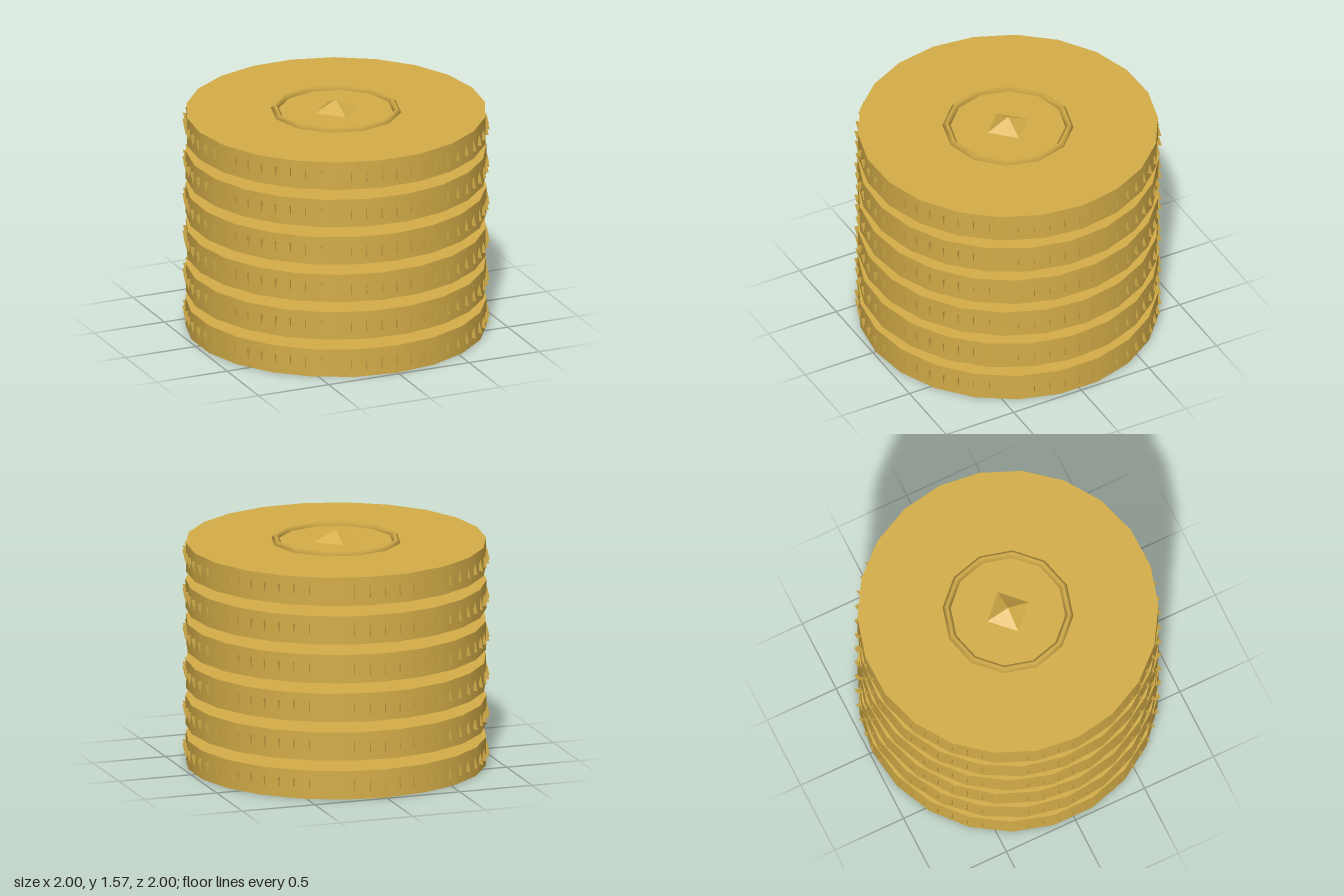
import * as THREE from 'three';

const COINS = 6, PITCH = 0.26, HEIGHT = 0.19, RADIUS = 0.98, SIDES = 22, RIDGES = 60;

// Rim milling: each ridge is a pair of upright triangles facing opposite ways round the rim
function ridgeGeometry() {
  const pos = [];
  const inner = 0.962, outer = 1.0, mid = 0.982, h = 0.04, w = 0.006;
  for (let i = 0; i < RIDGES; i++) {
    const a = (i / RIDGES) * Math.PI * 2;
    const c = Math.cos(a), s = Math.sin(a);
    const add = (r, y, t) => pos.push(r * c - t * s, y, r * s + t * c);
    // wide at the top
    add(inner, h, -w); add(outer, h, -w); add(mid, -h, -w);
    // wide at the bottom
    add(outer, -h, w); add(inner, -h, w); add(mid, h, w);
  }
  const g = new THREE.BufferGeometry();
  g.setAttribute('position', new THREE.Float32BufferAttribute(pos, 3));
  // make the triangles face away from each other
  const p = g.attributes.position;
  const v = [0, 1, 2].map(() => new THREE.Vector3());
  for (let i = 0; i < p.count; i += 3) {
    v.forEach((q, k) => q.fromBufferAttribute(p, i + k));
    const n = v[1].clone().sub(v[0]).cross(v[2].clone().sub(v[0]));
    const a = (Math.floor(i / 6) / RIDGES) * Math.PI * 2;
    const along = -Math.sin(a) * n.x + Math.cos(a) * n.z;
    const wanted = (i / 3) % 2 ? 1 : -1;
    if (along * wanted < 0) {
      p.setXYZ(i + 1, v[2].x, v[2].y, v[2].z);
      p.setXYZ(i + 2, v[1].x, v[1].y, v[1].z);
    }
  }
  g.computeVertexNormals();
  return g;
}

export function createModel() {
  const model = new THREE.Group();
  model.name = 'coinStack';
  const gold = new THREE.MeshStandardMaterial({ color: 0xd4ad48 });
  gold.name = 'gold';

  const add = (parent, geometry, name, y) => {
    const mesh = new THREE.Mesh(geometry, gold);
    mesh.name = name;
    mesh.position.y = y;
    parent.add(mesh);
    return mesh;
  };

  // Six separate coins, each turned a little
  const discGeo = new THREE.CylinderGeometry(RADIUS, RADIUS, HEIGHT, SIDES);
  const ridges = ridgeGeometry();
  for (let i = 0; i < COINS; i++) {
    const coin = new THREE.Group();
    coin.name = 'coin' + (i + 1);
    coin.position.y = HEIGHT / 2 + i * PITCH;
    add(coin, discGeo, 'coinDisc', 0).rotation.y = i * 0.09;
    add(coin, ridges, 'rimRidges', 0);
    model.add(coin);
  }

  const top = (COINS - 1) * PITCH + HEIGHT;

  // Raised ring on the top coin
  const ringGeo = new THREE.TorusGeometry(0.4, 0.026, 4, 12);
  ringGeo.rotateX(Math.PI / 2);
  add(model, ringGeo, 'raisedRing', top);

  // Low four-sided gem in the middle
  const gemGeo = new THREE.OctahedronGeometry(0.15);
  gemGeo.scale(1, 0.5, 1);
  add(model, gemGeo, 'centreGem', top);

  return model;
}
